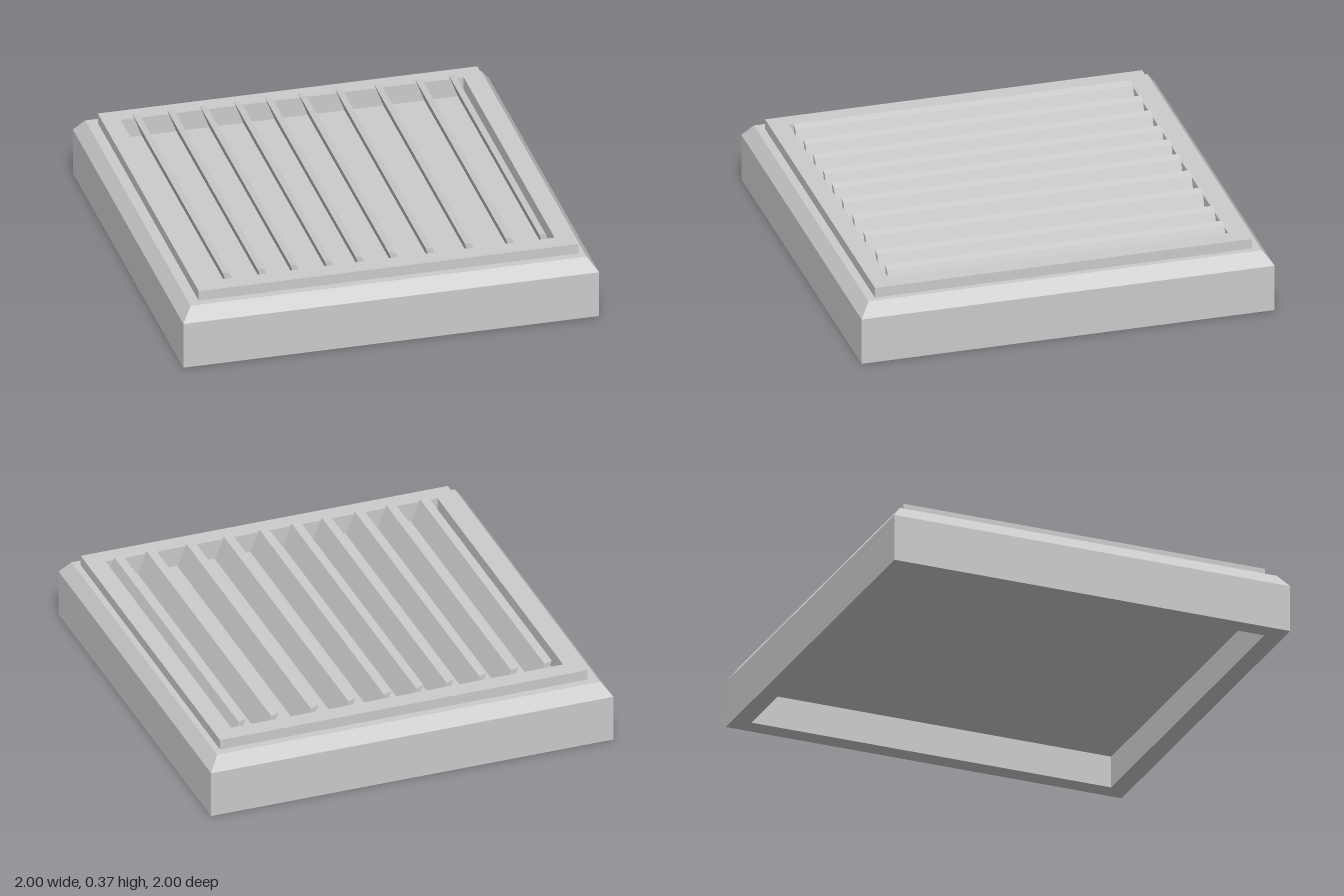
import * as THREE from 'three';

const material = new THREE.MeshStandardMaterial({ color: 0xcccccc, flatShading: true });

function addMesh(parent, name, geometry) {
  const mesh = new THREE.Mesh(geometry, material);
  mesh.name = name;
  parent.add(mesh);
  return mesh;
}

const points = (list) => list.map(([x, y]) => new THREE.Vector2(x, y));

// Square solid of stacked half-widths, made as a four-sided lathe
function squareLathe(profile) {
  const scaled = profile.map(([half, y]) => [half * Math.SQRT2, y]);
  const geometry = new THREE.LatheGeometry(points(scaled), 4, Math.PI / 4).toNonIndexed();
  geometry.computeVertexNormals();
  return geometry;
}

const rectangle = (x0, x1, z) => points([[x0, -z], [x1, -z], [x1, z], [x0, z]]);

export function createModel() {
  const model = new THREE.Group();
  model.name = 'louveredVent';

  // Chamfered base, hollowed from below, with a shallow pocket on top
  addMesh(model, 'base', squareLathe([
    [0, 0.158], [0.909, 0.158], [0.909, 0], [1, 0],
    [1, 0.23], [0.953, 0.295], [0.85, 0.295], [0.85, 0.25], [0, 0.25],
  ]));

  // Raised frame, its inner walls reaching down to the pocket floor
  const frameShape = new THREE.Shape(rectangle(-0.903, 0.923, 0.913));
  frameShape.holes.push(new THREE.Path(rectangle(-0.817, 0.833, 0.823)));
  const frameGeometry = new THREE.ExtrudeGeometry(frameShape, { depth: 0.095, bevelEnabled: false });
  frameGeometry.rotateX(-Math.PI / 2).translate(0, 0.25, 0);
  addMesh(model, 'frame', frameGeometry);

  // Leaning slats, unevenly spaced, all sharing one profile
  const slatShape = new THREE.Shape(points([
    [0, 0.374], [0.047, 0.25], [0.08, 0.25], [0.036, 0.363],
  ]));
  const slatGeometry = new THREE.ExtrudeGeometry(slatShape, { depth: 1.634, bevelEnabled: false });
  slatGeometry.translate(0, 0, -0.817);
  const slats = new THREE.Group();
  slats.name = 'slats';
  model.add(slats);
  for (const x of [-0.763, -0.597, -0.439, -0.275, -0.125, 0.035, 0.212, 0.399, 0.596, 0.757]) {
    addMesh(slats, 'slat', slatGeometry).position.x = x;
  }

  return model;
}
